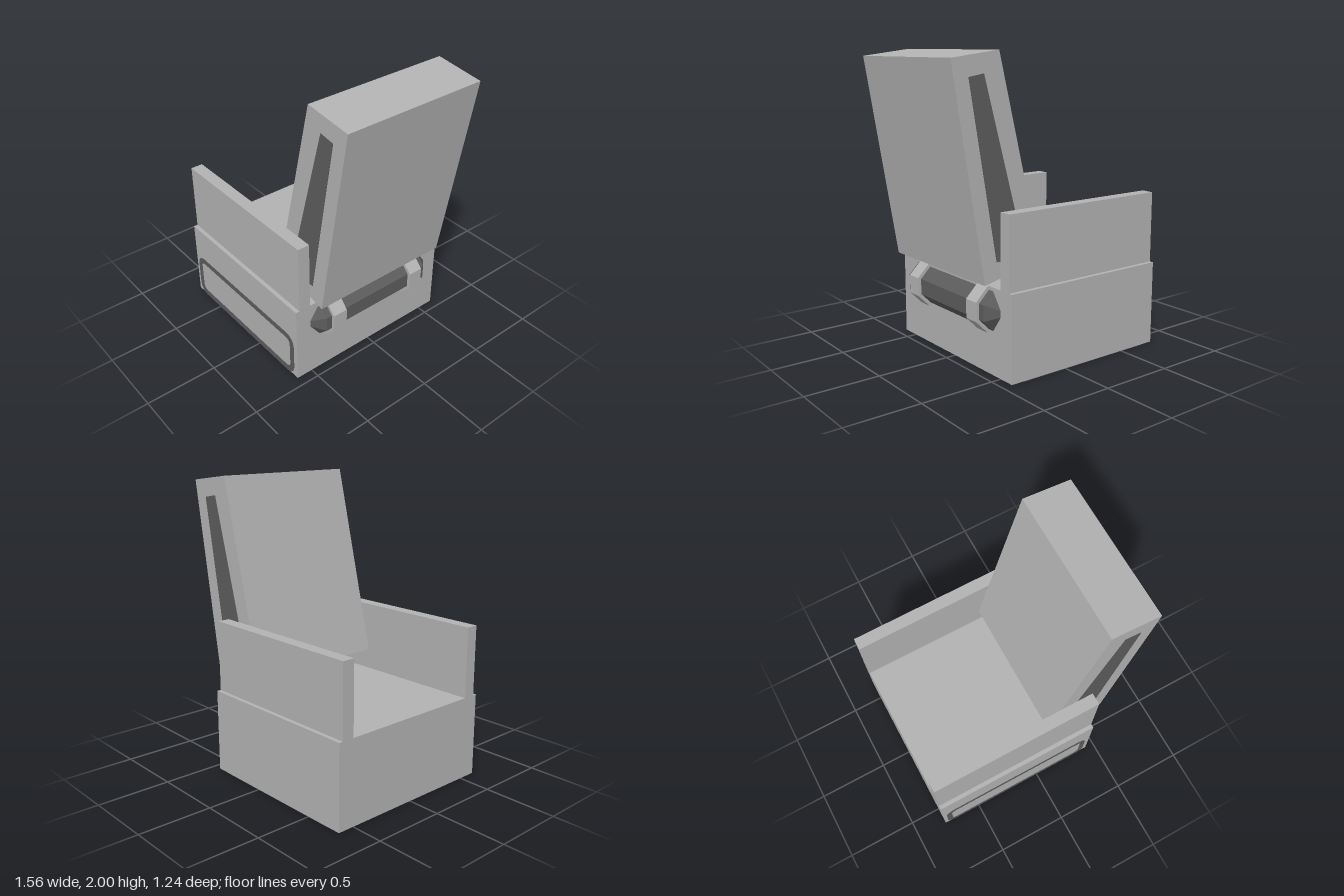
import * as THREE from 'three';

const shell = new THREE.MeshStandardMaterial({ color: 0xb2b2b2 });
shell.name = 'light grey';
const trim = new THREE.MeshStandardMaterial({ color: 0x5c5c5c });
trim.name = 'dark grey';

function add(parent, name, geometry, material, x = 0, y = 0, z = 0) {
  const mesh = new THREE.Mesh(geometry, material);
  mesh.name = name;
  mesh.position.set(x, y, z);
  parent.add(mesh);
  return mesh;
}

// Box given by its limits on each axis
function block(parent, name, [x0, x1], [y0, y1], [z0, z1]) {
  const geometry = new THREE.BoxGeometry(x1 - x0, y1 - y0, z1 - z0);
  add(parent, name, geometry, shell, (x0 + x1) / 2, (y0 + y1) / 2, (z0 + z1) / 2);
}

// Side outline extruded along z, centred on z = 0
function slab(shape, depth) {
  return new THREE.ExtrudeGeometry(shape, { depth, bevelEnabled: false, curveSegments: 2 })
    .translate(0, 0, -depth / 2);
}

const polygon = (points) => new THREE.Shape(points.map(([x, y]) => new THREE.Vector2(x, y)));

// Rectangle with rounded corners
function roundedRect(target, x0, x1, y0, y1, r) {
  target.absarc(x1 - r, y0 + r, r, -Math.PI / 2, 0);
  target.absarc(x1 - r, y1 - r, r, 0, Math.PI / 2);
  target.absarc(x0 + r, y1 - r, r, Math.PI / 2, Math.PI);
  target.absarc(x0 + r, y0 + r, r, Math.PI, Math.PI * 1.5);
  target.closePath();
  return target;
}

// Faceted eight-sided solid along z; profile holds [flat radius, z]
function octagonal(profile) {
  const k = 1 / Math.cos(Math.PI / 8);
  const points = profile.map(([r, z]) => new THREE.Vector2(r * k, z));
  const geometry = new THREE.LatheGeometry(points, 8, Math.PI / 8).rotateX(Math.PI / 2).toNonIndexed();
  geometry.computeVertexNormals();
  return geometry;
}

export function createModel() {
  const model = new THREE.Group();
  model.name = 'armchair';

  // Base and armrests
  block(model, 'base', [-0.78, 0.435], [0.004, 0.572], [-0.62, 0.62]);
  block(model, 'leftArmrest', [-0.78, 0.435], [0.572, 1.053], [0.507, 0.592]);
  block(model, 'rightArmrest', [-0.78, 0.435], [0.572, 1.053], [-0.592, -0.507]);

  // Leaning backrest, wider at the bottom
  const back = polygon([[0.12, 0.713], [0.55, 0.62], [0.775, 1.957], [0.44, 2]]);
  add(model, 'backrest', slab(back, 1.01), shell);

  // Tapered dark inlays on both sides of the backrest
  const inlay = polygon([[0.245, 0.76], [0.44, 0.75], [0.463, 0.752], [0.656, 1.85], [0.55, 1.868]]);
  for (const side of [1, -1]) add(model, 'backrestInlay', slab(inlay, 0.006), trim, 0, 0, side * 0.505);

  // Rounded frames on the base; the rear one is sunk into the wall
  const frame = roundedRect(new THREE.Shape(), -0.755, 0.4, 0, 0.33, 0.075);
  frame.holes.push(roundedRect(new THREE.Path(), -0.715, 0.36, 0.043, 0.29, 0.04));
  add(model, 'frontFrame', slab(frame, 0.03), trim, 0, 0, 0.608);
  add(model, 'rearFrame', slab(frame, 0.03), trim, 0, 0, -0.603);

  // Bolster behind the seat, with two clamps
  const bolster = new THREE.Group();
  bolster.name = 'bolster';
  bolster.position.set(0.383, 0.421, 0);
  model.add(bolster);
  add(bolster, 'roll', octagonal([[0, -0.505], [0.055, -0.505], [0.127, -0.432],
    [0.127, 0.432], [0.055, 0.505], [0, 0.505]]), trim);
  const clamp = octagonal([[0, -0.053], [0.15, -0.053], [0.15, 0.053], [0, 0.053]]);
  for (const side of [1, -1]) add(bolster, 'clamp', clamp, shell, 0, 0, side * 0.336);

  return model;
}
